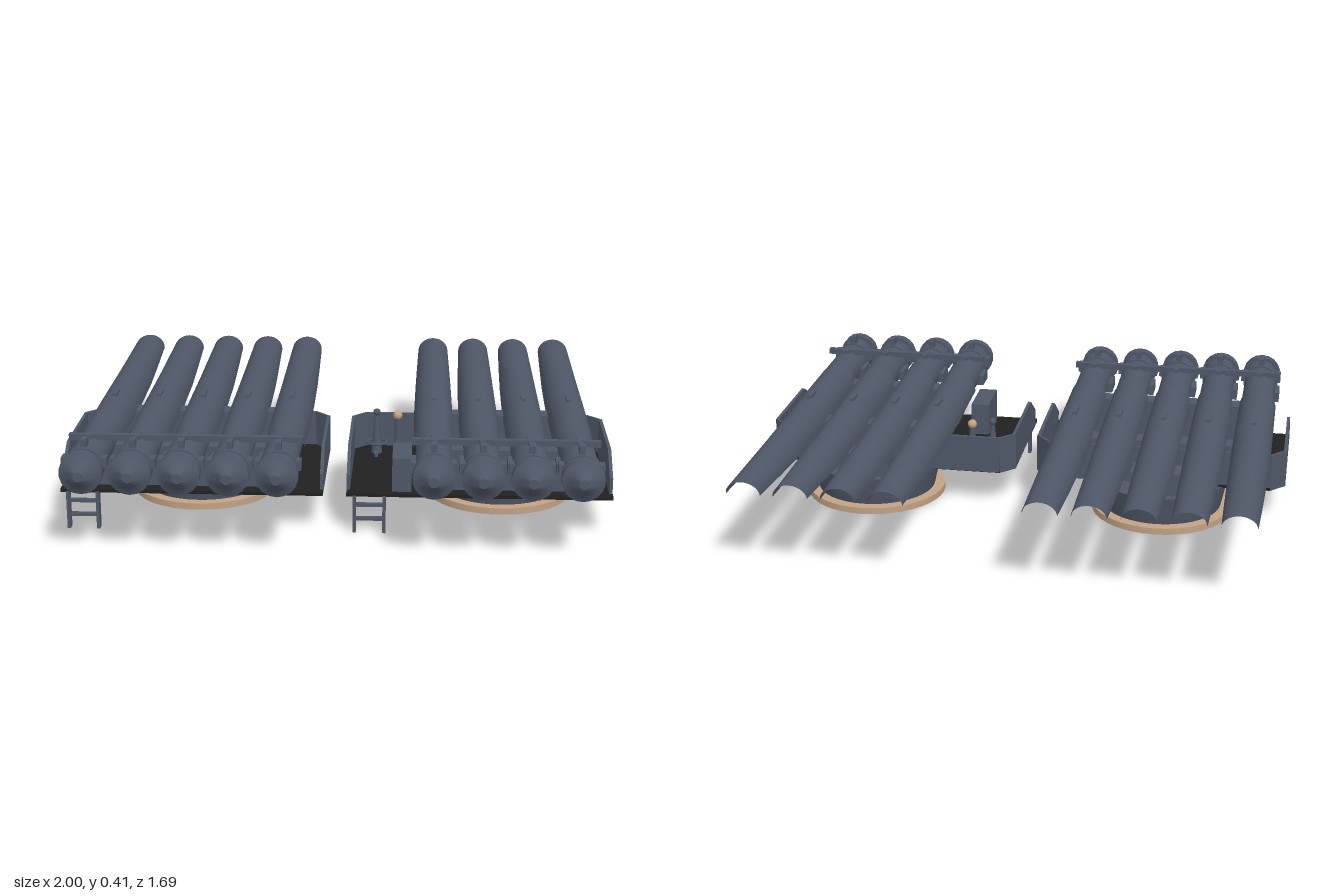
import * as THREE from 'three';
import { toCreasedNormals } from 'three/addons/utils/BufferGeometryUtils.js';

const steel = new THREE.MeshStandardMaterial({ color: 0x4f5767, side: THREE.DoubleSide });
steel.name = 'steel grey';
const deck = new THREE.MeshStandardMaterial({ color: 0x212121 });
deck.name = 'deck black';
const tan = new THREE.MeshStandardMaterial({ color: 0xc2a285 });
tan.name = 'tan';

function add(parent, name, geo, mat, x = 0, y = 0, z = 0) {
  const m = new THREE.Mesh(geo, mat);
  m.name = name;
  m.position.set(x, y, z);
  parent.add(m);
  return m;
}

// box given by its limits on each axis
function box(parent, name, x0, x1, y0, y1, z0, z1, mat = steel) {
  return add(parent, name, new THREE.BoxGeometry(x1 - x0, y1 - y0, z1 - z0), mat,
    (x0 + x1) / 2, (y0 + y1) / 2, (z0 + z1) / 2);
}

const shapeOf = pts => new THREE.Shape(pts.map(p => new THREE.Vector2(...p)));

// plate with a (z, y) outline, centred on x
function sidePlate(pts, thick) {
  const g = new THREE.ExtrudeGeometry(shapeOf(pts), { depth: thick, bevelEnabled: false });
  g.translate(0, 0, -thick / 2);
  return g.rotateY(-Math.PI / 2);
}

const lathe = (pts, seg) => toCreasedNormals(
  new THREE.LatheGeometry(pts.map(p => new THREE.Vector2(...p)), seg), 0.6);

// full tube with door flange and nose, profile as (radius, z)
const tubeGeo = lathe([[0, -0.375], [0.061, -0.375], [0.064, 0.3], [0.064, 0.66], [0.064, 0.672],
  [0.07, 0.672], [0.07, 0.735], [0.062, 0.735], [0.062, 0.765], [0.075, 0.765], [0.075, 0.803],
  [0.058, 0.81], [0.045, 0.822], [0.018, 0.845], [0, 0.845]], 18).rotateX(Math.PI / 2);

// open spoon: half-elliptic arches whose lower edge rises to the rear
function spoonGeometry() {
  const N = 14, pos = [], idx = [];
  const rows = [[0.42, 0.072, 0.29], [0.02, 0.074, 0.285], [-0.06, 0.074, 0.283],
    [-0.375, 0.071, 0.288], [-0.6, 0.067, 0.303], [-0.83, 0.062, 0.32]];
  rows.forEach(([z, w, e], r) => {
    for (let i = 0; i <= N; i++) {
      const t = Math.PI * i / N;
      const lip = r === rows.length - 1 ? -0.013 * Math.sin(t) : 0;
      pos.push(w * Math.cos(t), e + (0.372 - e) * Math.sin(t), z + lip);
    }
  });
  for (let r = 0; r < rows.length - 1; r++)
    for (let i = 0; i < N; i++) {
      const a = r * (N + 1) + i, b = a + N + 1;
      idx.push(a, a + 1, b, b, a + 1, b + 1);
    }
  const g = new THREE.BufferGeometry();
  g.setAttribute('position', new THREE.Float32BufferAttribute(pos, 3));
  g.setIndex(idx);
  g.computeVertexNormals();
  return g;
}
const spoonGeo = spoonGeometry();

function launchTube(x) {
  const g = new THREE.Group();
  g.name = 'launchTube';
  g.position.x = x;
  add(g, 'tubeBody', tubeGeo, steel, 0, 0.308, 0);
  add(g, 'spoon', spoonGeo, steel);
  // lugs around the door ring
  box(g, 'topLug', -0.011, 0.011, 0.36, 0.405, 0.68, 0.722);
  for (const s of [-1, 1]) {
    const lug = box(g, 'sideLug', -0.017, 0.017, 0.305, 0.34, 0.685, 0.73);
    lug.position.x = s * 0.063;
  }
  add(g, 'lowerLug', sidePlate([[0.742, 0.25], [0.71, 0.205], [0.7, 0.205], [0.655, 0.25]], 0.03), steel);
  // small fittings
  box(g, 'sideBracket', -0.08, -0.05, 0.27, 0.31, 0.55, 0.64);
  box(g, 'railClamp', -0.01, 0.01, 0.36, 0.385, 0.555, 0.61);
  box(g, 'topStop', -0.009, 0.009, 0.36, 0.381, 0.01, 0.08);
  return g;
}

function ladder(x0, x1) {
  const g = new THREE.Group();
  g.name = 'ladder';
  for (const x of [x0, x1 - 0.012]) {
    box(g, 'ladderRail', x, x + 0.012, 0, 0.14, 0.495, 0.525);
  }
  for (const y of [0.045, 0.098]) box(g, 'rung', x0, x1, y, y + 0.012, 0.502, 0.518);
  return g;
}

// one mount; x0..x1 is the platform, cx the turntable centre
function mount(name, x0, x1, cx, tubes, ladderX) {
  const g = new THREE.Group();
  g.name = name;
  // turntable
  add(g, 'baseRing', lathe([[0, 0.012], [0.243, 0.012], [0.246, 0], [0.27, 0],
    [0.27, 0.025], [0, 0.025]], 40), tan, cx, 0, 0.043);
  add(g, 'pedestal', new THREE.CylinderGeometry(0.254, 0.23, 0.113, 40), steel, cx, 0.0815, 0.043);
  box(g, 'rearBox', cx - 0.1, cx + 0.1, 0.135, 0.225, -0.175, -0.08);

  // platform floor with chamfered rear corners
  const c = 0.055;
  const floor = new THREE.ExtrudeGeometry(shapeOf([[x0, -0.515], [x1, -0.515], [x1, 0],
    [x1 - c, 0.057], [x0 + c, 0.057], [x0, 0]]), { depth: 0.012, bevelEnabled: false });
  add(g, 'floor', floor.rotateX(-Math.PI / 2), deck, 0, 0.136, 0);

  // side, corner and rear walls
  const side = [[0, 0.137], [0.5, 0.137], [0.472, 0.15], [0.472, 0.205], [0.36, 0.28], [0, 0.28]];
  for (const [x, s] of [[x0, 1], [x1, -1]]) {
    add(g, 'sideWall', sidePlate(side, 0.012), steel, x + s * 0.006, 0, 0);
    const corner = add(g, 'cornerWall', new THREE.BoxGeometry(0.079, 0.143, 0.01), steel,
      x + s * (c / 2 + 0.003), 0.2085, -0.025);
    corner.rotation.y = s * Math.atan2(0.057, c);
  }
  box(g, 'rearWall', x0 + c, x1 - c, 0.137, 0.28, -0.057, -0.045);

  // tubes, cradles and tie rail
  const a = tubes[0], b = tubes[tubes.length - 1];
  tubes.forEach(x => g.add(launchTube(x)));
  for (const [z, d] of [[0.39, 0.07], [-0.04, 0.07]]) {
    const cradle = new THREE.ExtrudeGeometry(shapeOf([[a, 0.14], [b, 0.14], [b + 0.045, 0.25],
      [b + 0.045, 0.3], [a - 0.045, 0.3], [a - 0.045, 0.25]]), { depth: d, bevelEnabled: false });
    add(g, 'cradle', cradle, steel, 0, 0, z);
  }
  box(g, 'tieRail', a - 0.075, b + 0.075, 0.362, 0.384, 0.575, 0.597);
  g.add(ladder(ladderX, ladderX + 0.12));
  return g;
}

function aimingStation() {
  const g = new THREE.Group();
  g.name = 'aimingStation';
  // sight post with hand wheel
  add(g, 'sightPost', new THREE.CylinderGeometry(0.008, 0.022, 0.16, 10), steel, 0.137, 0.22, 0.04);
  add(g, 'sightHead', new THREE.SphereGeometry(0.014, 10, 8), steel, 0.137, 0.31, 0.04);
  const wheel = add(g, 'handWheel', new THREE.TorusGeometry(0.037, 0.005, 6, 20), steel, 0.137, 0.19, 0.04);
  wheel.rotation.x = Math.PI / 2;
  box(g, 'sightBar', 0.13, 0.144, 0.15, 0.162, -0.02, 0.105);
  // lamp post with tan cap
  add(g, 'lampPost', new THREE.CylinderGeometry(0.012, 0.014, 0.15, 10), steel, 0.217, 0.215, 0.035);
  add(g, 'lampCap', new THREE.SphereGeometry(0.018, 10, 8), tan, 0.217, 0.297, 0.035);
  box(g, 'locker', 0.205, 0.275, 0.145, 0.275, 0.305, 0.49);
  return g;
}

export function createModel() {
  const model = new THREE.Group();
  model.name = 'launcherPair';
  const row = (start, n) => Array.from({ length: n }, (_, i) => start + i * 0.17);
  model.add(mount('fiveTubeMount', -1, -0.045, -0.527, row(-0.867, 5), -0.978));
  model.add(mount('fourTubeMount', 0.04, 1, 0.607, row(0.353, 4), 0.063));
  model.add(aimingStation());
  return model;
}
